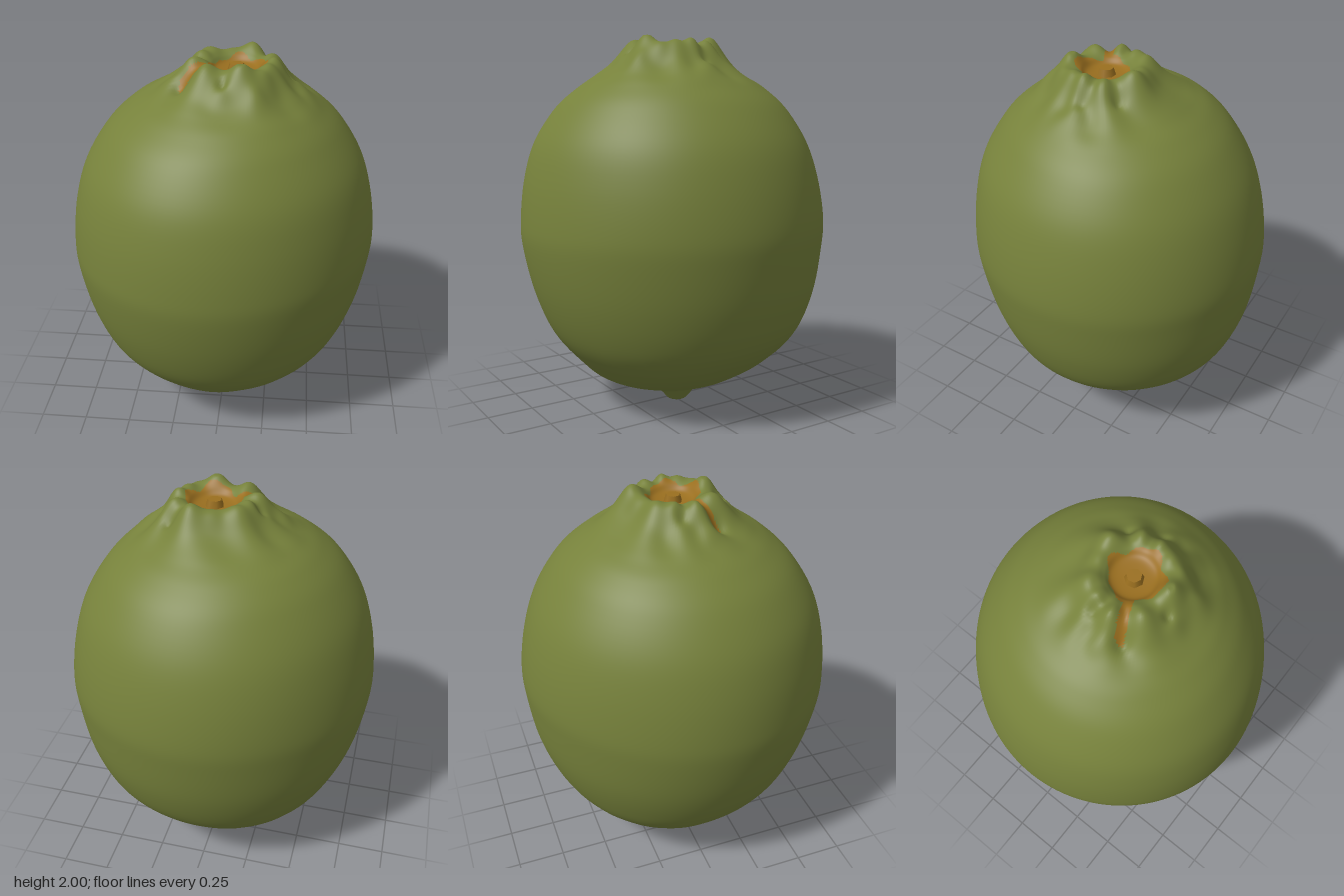
import * as THREE from 'three';

const green = new THREE.MeshStandardMaterial({ color: 0x76813b });
green.name = 'greenRind';
const brown = new THREE.MeshStandardMaterial({ color: 0x9a6f1f });
brown.name = 'orangeBrownScar';

// Profile rows from blossom tip to stem scar: radius, height, axis offset x, z
const PROFILE = [
  [0, 0, 0.05, 0], [0.05, 0.012, 0.05, 0], [0.085, 0.05, 0.05, 0], [0.14, 0.095, 0.035, 0],
  [0.23, 0.12, 0.0, 0], [0.4, 0.17, -0.04, 0], [0.54, 0.275, -0.02, -0.015], [0.665, 0.43, -0.005, -0.015],
  [0.75, 0.65, -0.003, -0.01], [0.795, 0.9, -0.003, 0], [0.8, 1.06, 0, 0], [0.77, 1.27, 0, 0.005],
  [0.71, 1.46, 0, 0.01], [0.6, 1.635, 0, 0.01], [0.49, 1.74, 0.005, 0.01], [0.4, 1.8, 0.015, 0.015],
  [0.33, 1.845, 0.03, 0.02], [0.27, 1.89, 0.04, 0.03], [0.21, 1.94, 0.05, 0.03], [0.165, 1.955, 0.06, 0.03],
  [0.13, 1.945, 0.06, 0.03], [0.1, 1.922, 0.06, 0.03], [0.05, 1.915, 0.06, 0.03], [0, 1.915, 0.06, 0.03],
];

// Swellings and hollows round the stem: x, z, spread, height
const LUMPS = [
  [0.14, -0.18, 0.07, 0.05], [0.02, -0.15, 0.05, 0.025], [-0.12, -0.08, 0.07, 0.045],
  [-0.17, 0.06, 0.06, 0.04], [-0.08, 0.21, 0.07, 0.035], [0.09, 0.22, 0.06, 0.045],
  [0.21, 0.2, 0.05, 0.04], [0.26, 0.07, 0.06, 0.035], [0.27, -0.06, 0.05, 0.03],
  [0.42, 0.08, 0.06, 0.025], [0.0, 0.31, 0.05, 0.02], [0.17, 0.31, 0.05, 0.025],
  [-0.28, 0.08, 0.05, 0.02], [-0.2, 0.17, 0.04, -0.035], [0.24, -0.14, 0.03, -0.025],
  [0.01, 0.26, 0.025, -0.025], [-0.18, -0.01, 0.03, -0.03], [0.32, 0.01, 0.03, -0.025],
];

const smooth = (a, b, v) => THREE.MathUtils.smoothstep(v, a, b);

// Height added at the crown by the lumps and by radiating creases
function crown(x, z, y) {
  const weight = smooth(1.65, 1.85, y);
  if (weight === 0) return 0;
  let h = 0;
  for (const [lx, lz, s, k] of LUMPS) h += k * Math.exp(-((x - lx) ** 2 + (z - lz) ** 2) / (s * s));
  const r = Math.hypot(x - 0.06, z - 0.03);
  const a = Math.atan2(z - 0.03, x - 0.06);
  const band = smooth(0.12, 0.2, r) * (1 - smooth(0.3, 0.5, r));
  h += 0.012 * band * Math.sin(9 * a + 2 * Math.sin(2 * a) + 7 * r);
  return h * weight;
}

// Gentle unevenness of the rind, rougher near the blossom end
function uneven(x, y, z) {
  const broad = 0.005 * Math.sin(4.1 * x + 2.3 * y) * Math.sin(3.7 * z - 1.9 * y + 1);
  const rough = 0.004 * Math.sin(23 * x + 5 * y) * Math.sin(21 * z - 9 * y);
  return broad + rough * (1 - smooth(0.15, 0.5, y));
}

// Whole skin: rings about the leaning axis, split into rind and scar faces
function fruitGeometry() {
  const rings = 138, segs = 128;
  const shape = new THREE.CatmullRomCurve3(PROFILE.map(([r, y]) => new THREE.Vector3(r, y, 0)), false, 'catmullrom');
  const axis = new THREE.CatmullRomCurve3(PROFILE.map(([, , x, z]) => new THREE.Vector3(x, 0, z)), false, 'catmullrom');
  const pos = [];
  for (let i = 0; i <= rings; i++) {
    const p = shape.getPoint(i / rings), c = axis.getPoint(i / rings);
    const oval = 0.027 * smooth(0.2, 0.5, p.y) * (1 - smooth(1.6, 1.85, p.y));
    for (let j = 0; j < segs; j++) {
      const a = (j / segs) * Math.PI * 2;
      let r = Math.max(0, p.x) * (1 - oval * Math.sin(2 * a));
      r *= 1 + uneven(r * Math.cos(a), p.y, r * Math.sin(a));
      const x = c.x + r * Math.cos(a), z = c.z + r * Math.sin(a);
      pos.push(x, Math.max(0, Math.min(2, p.y + crown(x, z, p.y))), z);
    }
  }
  // Scar outline: an irregular patch, one spur along a crease, and the very tip
  const isScar = (x, y, z) => {
    if (y < 0.5) return Math.hypot(x - 0.05, z) < 0.022;
    if (y < 1.7) return false;
    const dx = x - 0.07, dz = z - 0.04, a = Math.atan2(dz, dx);
    const spur = Math.abs(dz + 0.42 * dx) < 0.025 && dx < 0 && dx > -0.28;
    return spur || Math.hypot(dx, dz) < 0.132 + 0.012 * Math.sin(4 * a + 2) + 0.008 * Math.sin(7 * a);
  };
  const rind = [], scar = [];
  const addFace = (...f) => {
    const mid = [0, 1, 2].map((k) => f.reduce((s, v) => s + pos[v * 3 + k], 0) / 3);
    (isScar(...mid) ? scar : rind).push(...f);
  };
  for (let i = 0; i < rings; i++) {
    for (let j = 0; j < segs; j++) {
      const k = (j + 1) % segs;
      const a = i * segs + j, b = i * segs + k, c = a + segs, d = b + segs;
      if (i > 0) addFace(a, c, b);
      if (i < rings - 1) addFace(b, c, d);
    }
  }
  const g = new THREE.BufferGeometry();
  g.setAttribute('position', new THREE.Float32BufferAttribute(pos, 3));
  g.setIndex([...rind, ...scar]);
  g.addGroup(0, rind.length, 0);
  g.addGroup(rind.length, scar.length, 1);
  g.computeVertexNormals();
  return g;
}

export function createModel() {
  const model = new THREE.Group();
  model.name = 'citrusFruit';

  const skin = new THREE.Mesh(fruitGeometry(), [green, brown]);
  skin.name = 'fruitSkin';
  model.add(skin);

  // Dried stem stub in the hollow
  const stub = new THREE.Mesh(new THREE.CylinderGeometry(0.036, 0.048, 0.04, 7), brown);
  stub.name = 'stemStub';
  stub.position.set(0.06, 1.93, 0.035);
  model.add(stub);

  return model;
}
